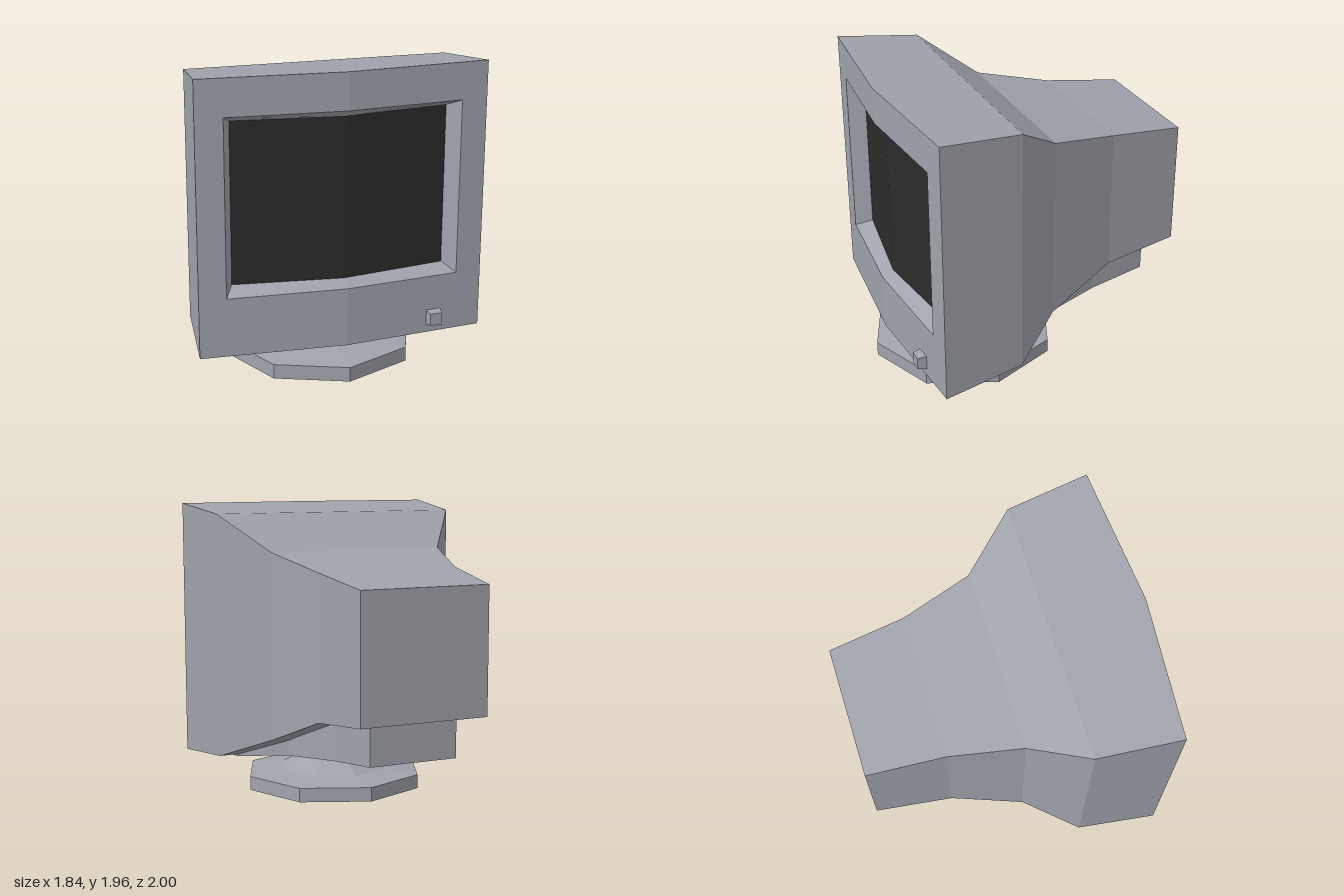
import * as THREE from 'three';

// Six-point cross-section, anticlockwise from the front; the middle points may bulge forward
const ring = (w, b, t, z, zMid = z) => [
  [-w, b, z], [0, b, zMid], [w, b, z], [w, t, z], [0, t, zMid], [-w, t, z],
];

function facets(triangles) {
  const g = new THREE.BufferGeometry();
  g.setAttribute('position', new THREE.Float32BufferAttribute(triangles.flat(2), 3));
  g.computeVertexNormals();
  return g;
}

// Flat cap facing forward
const cap = (r) => [
  [r[0], r[1], r[4]], [r[0], r[4], r[5]],
  [r[1], r[2], r[3]], [r[1], r[3], r[4]],
];

// Joins successive sections, mirroring the diagonals left to right
function skin(rings) {
  const tris = [];
  for (let i = 0; i < rings.length - 1; i++) {
    const A = rings[i], B = rings[i + 1];
    for (let k = 0; k < 6; k++) {
      const n = (k + 1) % 6;
      if (k === 1 || k === 4) tris.push([A[k], A[n], B[k]], [A[n], B[n], B[k]]);
      else tris.push([A[k], A[n], B[n]], [A[k], B[n], B[k]]);
    }
  }
  return tris;
}

const backCap = (r) => cap(r).map(([a, b, c]) => [a, c, b]);

export function createModel() {
  const model = new THREE.Group();
  model.name = 'monitor';

  const casing = new THREE.MeshStandardMaterial({ color: 0xa0a3ac, flatShading: true });
  casing.name = 'casing grey';
  const glass = new THREE.MeshStandardMaterial({ color: 0x2b2b2b, flatShading: true });
  glass.name = 'dark glass';

  const add = (name, geometry, material, x = 0, y = 0, z = 0) => {
    const mesh = new THREE.Mesh(geometry, material);
    mesh.name = name;
    mesh.position.set(x, y, z);
    model.add(mesh);
  };

  // Housing: from the back, round the bezel and into the screen recess
  const screenEdge = ring(0.69, 0.64, 1.67, 0.765, 0.86);
  const housing = [
    ring(0.435, 0.675, 1.5, -1),
    ring(0.485, 0.62, 1.565, -0.49),
    ring(0.605, 0.43, 1.66, -0.02),
    ring(0.86, 0.275, 1.9, 0.32),
    ring(0.92, 0.218, 1.955, 0.86, 0.932),
    ring(0.75, 0.595, 1.72, 0.873, 0.932),
    screenEdge,
  ];
  add('housing', facets([...backCap(housing[0]), ...skin(housing)]), casing);
  add('screen', facets(cap(screenEdge)), glass);

  // Sloping block under the housing
  const under = [
    ring(0.3, 0.395, 0.72, -0.85),
    ring(0.345, 0.352, 0.68, -0.45),
    ring(0.47, 0.298, 0.5, 0.04),
    ring(0.73, 0.262, 0.34, 0.32),
    ring(0.8, 0.218, 0.3, 0.84),
  ];
  add('underBlock', facets([...backCap(under[0]), ...skin(under)]), casing);

  // Eight-sided stand
  const profile = [[0, 0], [0.625, 0], [0.625, 0.095], [0.38, 0.12], [0.205, 0.2], [0.205, 0.3]]
    .map(([r, y]) => new THREE.Vector2(r, y));
  add('stand', new THREE.LatheGeometry(profile, 8), casing, 0, 0, 0.375);

  // Tapered power button
  const button = new THREE.CylinderGeometry(0.04 * Math.SQRT2, 0.05 * Math.SQRT2, 0.07, 4)
    .rotateY(Math.PI / 4).rotateX(Math.PI / 2);
  add('powerButton', button, casing, 0.595, 0.32, 0.905);

  return model;
}
